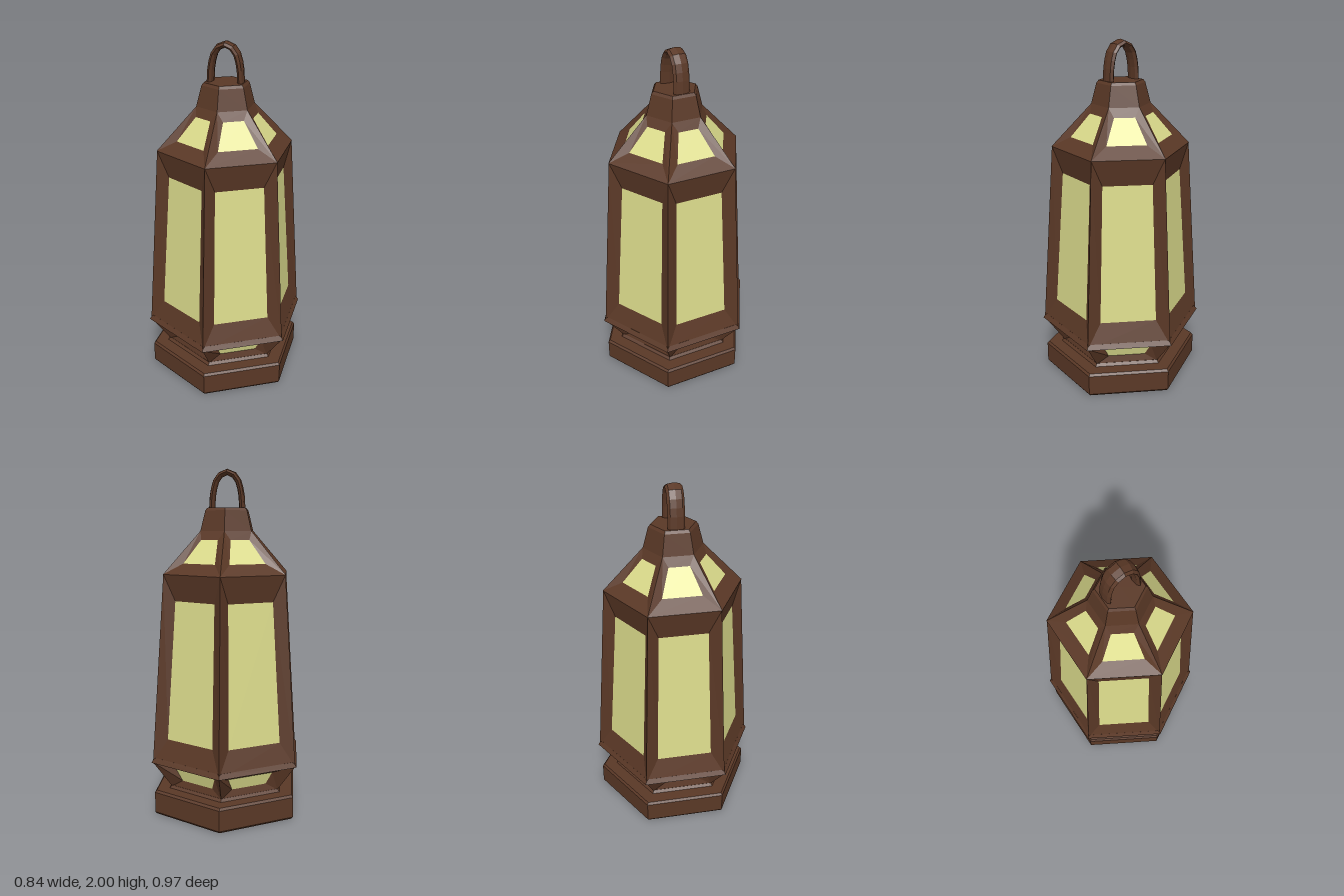
import * as THREE from 'three';

const brown = new THREE.MeshStandardMaterial({ color: 0x5a3826, flatShading: true });
brown.name = 'brown metal';
const yellow = new THREE.MeshStandardMaterial({ color: 0xdcdc8c, flatShading: true, side: THREE.DoubleSide });
yellow.name = 'pale yellow glass';

function addMesh(parent, name, geometry, material) {
  const mesh = new THREE.Mesh(geometry, material);
  mesh.name = name;
  parent.add(mesh);
  return mesh;
}

// Geometry from flat quads, corners anticlockwise seen from the front
function quads(list) {
  const points = list.flatMap(([a, b, c, d]) => [a, b, c, a, c, d]);
  const geometry = new THREE.BufferGeometry().setFromPoints(points);
  geometry.computeVertexNormals();
  return geometry;
}

// Trapezoid facing +z from [half width, y, distance] of its lower and upper edges
function trapezoid([w0, y0, d0], [w1, y1, d1]) {
  return [
    new THREE.Vector3(-w0, y0, d0), new THREE.Vector3(w0, y0, d0),
    new THREE.Vector3(w1, y1, d1), new THREE.Vector3(-w1, y1, d1),
  ];
}

// Edge of a hexagon of circumradius r at height y
const hexEdge = (r, y) => [r / 2, y, r * Math.sqrt(3) / 2];

// Six bevelled frames, each sloping inwards to a recessed pane
function windowTier(parent, name, bottom, top, glassBottom, glassTop) {
  const tier = new THREE.Group();
  tier.name = name;
  parent.add(tier);
  const outer = trapezoid(hexEdge(...bottom), hexEdge(...top));
  const inner = trapezoid(glassBottom, glassTop);
  const sides = outer.map((p, i) => {
    const j = (i + 1) % 4;
    return [p, outer[j], inner[j], inner[i]];
  });
  const frame = quads(sides);
  const pane = quads([inner]);
  for (let i = 0; i < 6; i++) {
    const side = new THREE.Group();
    side.name = name + 'Side';
    side.rotation.y = Math.PI / 6 + i * Math.PI / 3;
    addMesh(side, 'windowFrame', frame, brown);
    addMesh(side, 'windowPane', pane, yellow);
    tier.add(side);
  }
}

// Solid six-sided turned part from [radius, y] points
function hexPart(parent, name, profile) {
  const points = profile.map(([r, y]) => new THREE.Vector2(r, y));
  return addMesh(parent, name, new THREE.LatheGeometry(points, 6).toNonIndexed(), brown);
}

export function createModel() {
  const lantern = new THREE.Group();
  lantern.name = 'lantern';

  // Foot with chamfered edges
  hexPart(lantern, 'base', [[0, 0], [0.457, 0], [0.467, 0.012], [0.467, 0.132], [0.455, 0.145], [0.375, 0.145], [0.36, 0.16], [0, 0.16]]);

  // Glazed tiers from the flared underside to the roof
  windowTier(lantern, 'lowerTier', [0.36, 0.155], [0.478, 0.32], [0.108, 0.2, 0.3], [0.14, 0.27, 0.32]);
  windowTier(lantern, 'body', [0.476, 0.32], [0.395, 1.41], [0.16, 0.46, 0.367], [0.137, 1.26, 0.312]);
  windowTier(lantern, 'roof', [0.397, 1.41], [0.168, 1.65], [0.11, 1.47, 0.27], [0.058, 1.6, 0.172]);

  // Pointed lip around the foot of the body
  hexPart(lantern, 'lip', [[0, 0.317], [0.486, 0.317], [0.467, 0.345], [0, 0.345]]);

  // Neck above the roof
  hexPart(lantern, 'neck', [[0.168, 1.65], [0.137, 1.765], [0.125, 1.78], [0, 1.78]]);

  // Flattened carrying loop
  const arch = new THREE.CatmullRomCurve3(
    [[-0.088, 1.76], [-0.078, 1.88], [-0.05, 1.955], [0, 1.982], [0.05, 1.955], [0.078, 1.88], [0.088, 1.76]]
      .map(([x, y]) => new THREE.Vector3(x, y, 0)));
  const loop = addMesh(lantern, 'carryingLoop', new THREE.TubeGeometry(arch, 12, 0.018, 8), brown);
  loop.scale.z = 2.6;

  return lantern;
}
